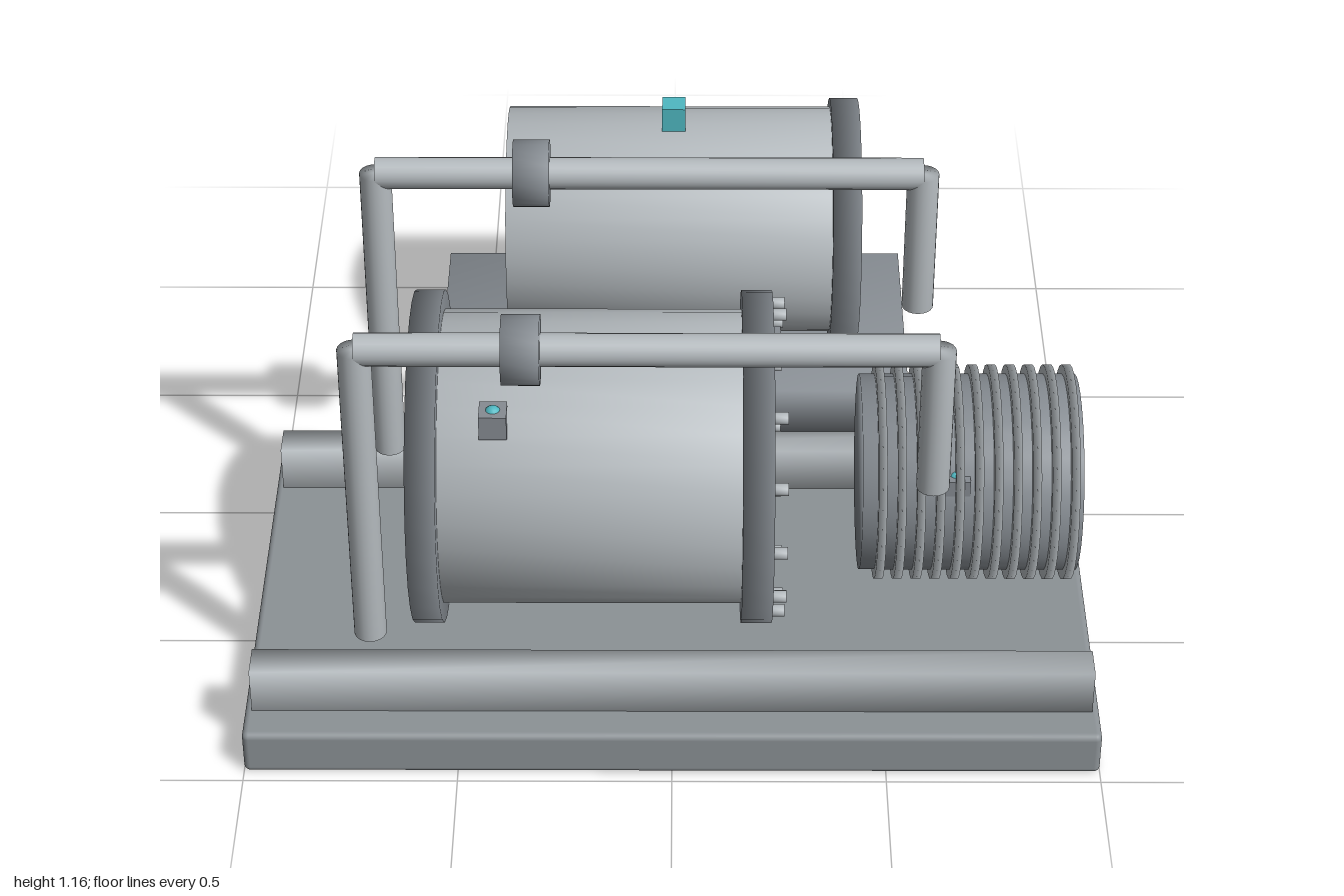
import * as THREE from 'three';
import { mergeVertices } from 'three/addons/utils/BufferGeometryUtils.js';
import { RoundedBoxGeometry } from 'three/addons/geometries/RoundedBoxGeometry.js';

function material(name, color) {
  const m = new THREE.MeshStandardMaterial({ color });
  m.name = name;
  return m;
}

// Share vertices so that shading rolls softly over every edge
function soften(geometry) {
  geometry.deleteAttribute('normal');
  geometry.deleteAttribute('uv');
  const merged = mergeVertices(geometry);
  merged.computeVertexNormals();
  return merged;
}

export function createModel() {
  const model = new THREE.Group();
  model.name = 'machineSkid';

  const steel = material('light steel', 0xb4babe);
  const darkSteel = material('dark steel', 0x868c92);
  const frameGrey = material('frame grey', 0x8c9296);
  const teal = material('teal', 0x4fb8c2);

  function add(name, geometry, mat, x, y, z, parent = model) {
    const mesh = new THREE.Mesh(geometry, mat);
    mesh.name = name;
    mesh.position.set(x, y, z);
    parent.add(mesh);
    return mesh;
  }

  // Cylinder lying along x from x0 to x1
  function drum(name, x0, x1, radius, y, z, mat, parent, sides = 32) {
    const g = new THREE.CylinderGeometry(radius, radius, x1 - x0, sides);
    g.rotateZ(-Math.PI / 2);
    return add(name, soften(g), mat, (x0 + x1) / 2, y, z, parent);
  }

  // Upright cylinder from y0 to y1
  function post(name, y0, y1, radius, x, z, mat, parent) {
    const g = new THREE.CylinderGeometry(radius, radius, y1 - y0, 20);
    return add(name, soften(g), mat, x, (y0 + y1) / 2, z, parent);
  }

  function group(name) {
    const g = new THREE.Group();
    g.name = name;
    model.add(g);
    return g;
  }

  const axisZ = 0.42;

  // Base plate and its two long rails
  add('basePlate', new RoundedBoxGeometry(2, 0.114, 1.11, 3, 0.015), frameGrey, 0, 0.057, 0.416);
  for (const side of [-1, 1]) {
    add('skidRail', soften(new THREE.BoxGeometry(1.966, 0.12, 0.083)), steel,
      0, 0.171, axisZ + side * 0.422);
  }

  // Main vessel with two flanges and a ring of bolts
  const vessel = group('mainVessel');
  const vesselY = 0.51;
  drum('vesselShell', -0.575, 0.2, 0.35, vesselY, axisZ, steel, vessel);
  drum('vesselFlange', -0.61, -0.54, 0.396, vesselY, axisZ, darkSteel, vessel, 28);
  drum('vesselFlange', 0.162, 0.235, 0.396, vesselY, axisZ, darkSteel, vessel, 28);
  for (let i = 0; i < 14; i++) {
    const a = (i / 14) * Math.PI * 2;
    drum('flangeBolt', 0.225, 0.266, 0.015,
      vesselY + Math.sin(a) * 0.365, axisZ + Math.cos(a) * 0.365, steel, vessel, 10);
  }

  // Motor with cooling fins
  const motor = group('motor');
  const motorY = 0.465;
  drum('motorBody', 0.443, 0.957, 0.234, motorY, axisZ, darkSteel, motor);
  for (let i = 0; i < 11; i++) {
    const x = 0.489 + i * 0.0447;
    drum('coolingFin', x - 0.01, x + 0.01, 0.256, motorY, axisZ, steel, motor);
  }

  // Overhead pipes on both sides, each with a collar
  for (const side of [-1, 1]) {
    const pipe = group('pipeRun');
    const z = axisZ + side * 0.355;
    const y = 1.08;
    drum('overheadPipe', -0.705, 0.592, 0.038, y, z, steel, pipe, 20);
    post('longDownPipe', 0.265, y, 0.038, -0.705, z, steel, pipe);
    post('shortDownPipe', 0.7, y, 0.038, 0.592, z, steel, pipe);
    drum('pipeCollar', -0.378, -0.292, 0.08, y, z, darkSteel, pipe, 24);
  }

  // Small sensor boxes with a teal lamp on top
  const sensors = [[-0.41, 0.785, 0.645], [0.224, 0.734, 0.276], [0.66, 0.568, 0.602]];
  for (const [x, y, z] of sensors) {
    const sensor = group('sensor');
    add('sensorBox', new THREE.BoxGeometry(0.064, 0.062, 0.064), darkSteel, x, y, z, sensor);
    add('sensorLamp', new THREE.SphereGeometry(0.02, 14, 10), teal, x, y + 0.02, z, sensor);
  }

  // Separate rear tank on its own plinth
  const tank = group('rearTank');
  const tankY = 0.463;
  const tankZ = -0.657;
  add('tankPlinth', soften(new THREE.BoxGeometry(1.224, 0.136, 0.63)), darkSteel, 0, 0.068, tankZ, tank);
  drum('tankShell', -0.428, 0.44, 0.294, tankY, tankZ, steel, tank);
  drum('tankFlange', 0.405, 0.478, 0.316, tankY, tankZ, darkSteel, tank);
  add('tankValve', new THREE.BoxGeometry(0.06, 0.07, 0.062), teal, 0, 0.785, tankZ, tank);

  return model;
}
